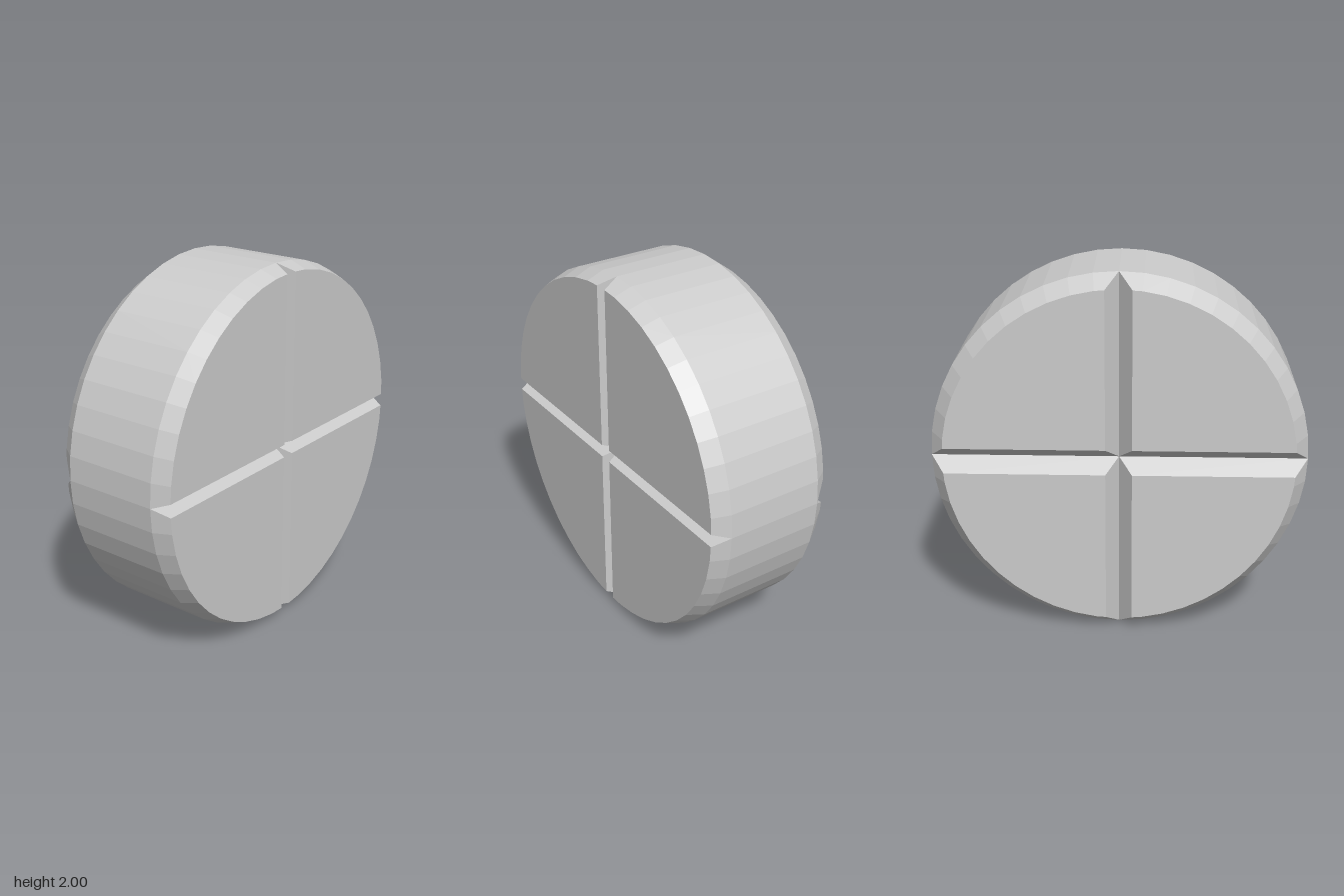
import * as THREE from 'three';

const SEGMENTS = 48;
const RIM_Z = 0.267;
const FACE_Z = 0.363;

// Quarter-disc outline, inset evenly on its straight edges and its arc
function quarterOutline(inset) {
  const steps = SEGMENTS / 4;
  const stepAngle = (Math.PI * 2) / SEGMENTS;
  const r = 1 - inset;
  const end = r - inset * Math.tan(stepAngle / 2);
  const points = [[inset, inset], [end, inset]];
  for (let i = 1; i < steps; i++) {
    points.push([r * Math.cos(i * stepAngle), r * Math.sin(i * stepAngle)]);
  }
  points.push([inset, end]);
  return points;
}

// Raised quarter with sloping sides, lofted from the full to the inset outline
function quarterGeometry(inset) {
  const low = quarterOutline(0);
  const high = quarterOutline(inset);
  const n = low.length;
  const positions = [];
  const index = [];
  low.forEach(([x, y]) => positions.push(x, y, RIM_Z));
  high.forEach(([x, y]) => positions.push(x, y, FACE_Z));
  for (let i = 0; i < n; i++) {
    const j = (i + 1) % n;
    index.push(i, j, n + j, i, n + j, n + i);
  }
  for (let i = 1; i < n - 1; i++) index.push(n, n + i, n + i + 1);
  const indexed = new THREE.BufferGeometry();
  indexed.setAttribute('position', new THREE.Float32BufferAttribute(positions, 3));
  indexed.setIndex(index);
  const geometry = indexed.toNonIndexed();
  geometry.computeVertexNormals();
  return geometry;
}

export function createModel() {
  const model = new THREE.Group();
  model.name = 'groovedDisc';
  const material = new THREE.MeshStandardMaterial({ color: 0xcccccc, flatShading: true });

  // Cylindrical rim between the two faces
  const rimGeometry = new THREE.CylinderGeometry(1, 1, RIM_Z * 2, SEGMENTS, 1, true);
  rimGeometry.rotateX(Math.PI / 2);
  const rim = new THREE.Mesh(rimGeometry, material);
  rim.name = 'rim';
  rim.position.y = 1;
  model.add(rim);

  // Four quarters per face leave crossed V grooves; the back bevel is wider
  const faces = [
    { name: 'frontFace', inset: 0.036, turn: 0 },
    { name: 'backFace', inset: 0.07, turn: Math.PI },
  ];
  for (const { name, inset, turn } of faces) {
    const face = new THREE.Group();
    face.name = name;
    face.position.y = 1;
    face.rotation.y = turn;
    const geometry = quarterGeometry(inset);
    for (let i = 0; i < 4; i++) {
      const quarter = new THREE.Mesh(geometry, material);
      quarter.name = `${name}Quarter${i + 1}`;
      quarter.rotation.z = (i * Math.PI) / 2;
      face.add(quarter);
    }
    model.add(face);
  }

  return model;
}
